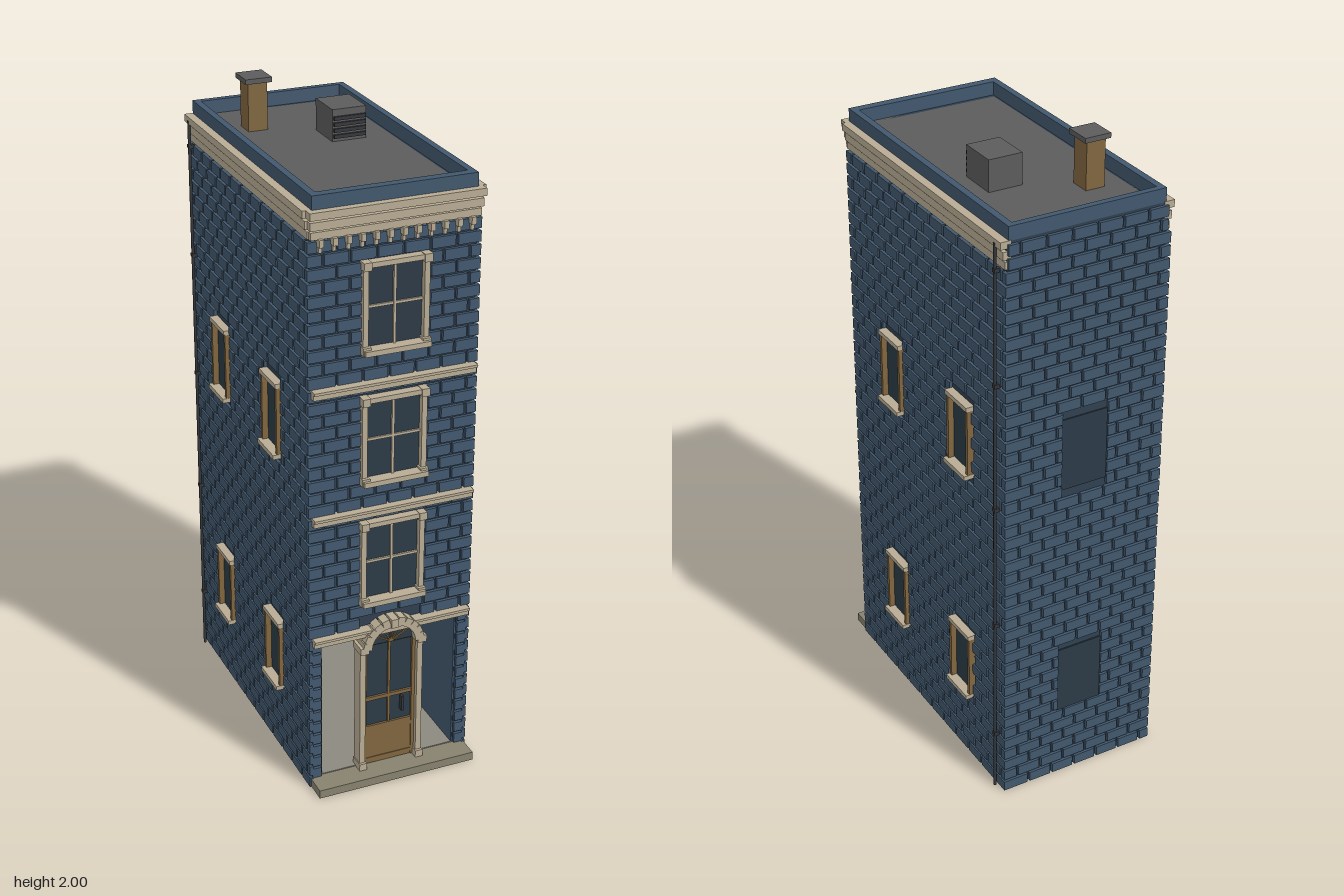
import * as THREE from 'three';
import { mergeGeometries } from 'three/addons/utils/BufferGeometryUtils.js';

const mat = (name, color, side = THREE.FrontSide) => {
  const m = new THREE.MeshStandardMaterial({ color, side });
  m.name = name;
  return m;
};

export function createModel() {
  const M = {
    brick: mat('blue brick', 0x42586e),
    mortar: mat('dark mortar', 0x303f4f),
    trim: mat('cream stone', 0xb8ac94),
    glass: mat('dark glass', 0x2c3a46),
    wood: mat('brown wood', 0x80663f),
    roof: mat('roof grey', 0x5c5c5c),
    step: mat('step stone', 0x87826f),
    floor: mat('floor grey', 0x8c8880),
    iron: mat('dark iron', 0x34363a),
  };
  const model = new THREE.Group();
  model.name = 'townhouse';

  // Box given by its min and max corners
  const box = (parent, name, m, x0, x1, y0, y1, z0, z1) => {
    const mesh = new THREE.Mesh(new THREE.BoxGeometry(x1 - x0, y1 - y0, z1 - z0), m);
    mesh.position.set((x0 + x1) / 2, (y0 + y1) / 2, (z0 + z1) / 2);
    mesh.name = name;
    parent.add(mesh);
    return mesh;
  };
  const group = (name) => {
    const g = new THREE.Group();
    g.name = name;
    model.add(g);
    return g;
  };

  // Running-bond bricks on a face, left out of holes [u0, u1, y0, y1]
  const bricks = (name, u0, u1, y0, y1, holes) => {
    const pitch = 0.04, length = 0.08, gap = 0.008, list = [];
    let row = 0;
    for (let y = y0; y < y1 - 0.01; y += pitch, row++) {
      const top = Math.min(y + pitch - gap, y1);
      for (let u = u0 - (row % 2) * length / 2; u < u1; u += length) {
        let pieces = [[Math.max(u, u0), Math.min(u + length - gap, u1)]];
        for (const [h0, h1, v0, v1] of holes) {
          if (top <= v0 + 0.004 || y >= v1 - 0.004) continue;
          pieces = pieces.flatMap(([a, b]) =>
            b <= h0 || a >= h1 ? [[a, b]] : [[a, Math.min(b, h0)], [Math.max(a, h1), b]]);
        }
        for (const [a, b] of pieces) {
          if (b - a < 0.006) continue;
          const g = new THREE.BoxGeometry(b - a, top - y, 0.012);
          list.push(g.translate((a + b) / 2, (y + top) / 2, 0.004));
        }
      }
    }
    const mesh = new THREE.Mesh(mergeGeometries(list), M.brick);
    mesh.name = name;
    model.add(mesh);
    return mesh;
  };

  // Hollow wall shell with plain blue lining
  const shell = group('walls');
  for (const s of [-1, 1]) {
    const a = s * 0.235;
    box(shell, 'sideWall', M.mortar, a - 0.015, a + 0.015, 0, 1.84, -0.49, 0.43);
    box(shell, 'sideLining', M.brick, s * 0.218 - 0.002, s * 0.218 + 0.002, 0.03, 1.82, -0.46, 0.429);
  }
  box(shell, 'backWall', M.mortar, -0.22, 0.22, 0, 1.84, -0.49, -0.46);
  box(shell, 'backLining', M.brick, -0.216, 0.216, 0.03, 1.82, -0.46, -0.456);
  box(shell, 'frontWall', M.mortar, -0.22, 0.22, 0.5, 1.84, 0.4, 0.43);
  box(shell, 'floorSlab', M.floor, -0.249, 0.249, 0.001, 0.03, -0.489, 0.429);
  box(shell, 'frontStep', M.step, -0.255, 0.255, 0, 0.027, 0.425, 0.505);

  // Brick facing
  const levels = [[0.23, 0.455], [1.02, 1.25]];
  const sideZ = [0.17, -0.245];
  const frontY = [0.74, 1.135, 1.54];
  const front = bricks('frontBricks', -0.25, 0.25, 0.52, 1.76, [
    ...frontY.map((y) => [-0.1, 0.1, y - 0.13, y + 0.13]), [-0.1, 0.1, 0.4, 0.55]]);
  front.position.z = 0.43;
  for (const s of [-1, 1]) {
    bricks('doorwayCornerBricks', s > 0 ? 0.222 : -0.25, s > 0 ? 0.25 : -0.222, 0.03, 0.5, []).position.z = 0.43;
    const holes = sideZ.flatMap((z) => levels.map(([a, b]) => [-s * z - 0.062, -s * z + 0.062, a, b]));
    const side = bricks('sideBricks', s > 0 ? -0.44 : -0.5, s > 0 ? 0.5 : 0.44, 0, 1.76, holes);
    side.rotation.y = s * Math.PI / 2;
    side.position.x = s * 0.25;
  }
  const back = bricks('backBricks', -0.25, 0.25, 0, 1.84, levels.map(([a, b]) => [-0.075, 0.075, a, b]));
  back.rotation.y = Math.PI;
  back.position.z = -0.49;

  // Rear windows, set flush in the wall
  for (const [a, b] of levels) box(model, 'backWindowGlass', M.glass, -0.075, 0.075, a, b, -0.494, -0.488);

  // Side windows with wooden jambs and stone sills
  for (const s of [-1, 1]) for (const z of sideZ) for (const [a, b] of levels) {
    const g = group('sideWindow');
    const part = (name, m, x, y0, y1, z0, z1) =>
      box(g, name, m, Math.min(s * 0.249, s * x), Math.max(s * 0.249, s * x), y0, y1, z + z0, z + z1);
    part('glass', M.glass, 0.254, a, b, -0.06, 0.06);
    part('jamb', M.wood, 0.272, a, b, -0.062, -0.05);
    part('jamb', M.wood, 0.272, a, b, 0.05, 0.062);
    part('lintel', M.trim, 0.276, b - 0.01, b + 0.004, -0.063, 0.063);
    part('sill', M.trim, 0.284, a - 0.004, a + 0.01, -0.063, 0.063);
  }

  // Front windows: casing, cross bars, lintel and sill
  for (const y of frontY) {
    const g = group('frontWindow');
    box(g, 'glass', M.glass, -0.09, 0.09, y - 0.125, y + 0.125, 0.428, 0.434);
    box(g, 'mullion', M.trim, -0.004, 0.004, y - 0.12, y + 0.12, 0.43, 0.441);
    box(g, 'transom', M.trim, -0.09, 0.09, y - 0.004, y + 0.004, 0.43, 0.44);
    for (const s of [-1, 1]) {
      box(g, 'casing', M.trim, s * 0.092 - 0.008, s * 0.092 + 0.008, y - 0.13, y + 0.13, 0.428, 0.452);
      for (const t of [-1, 1])
        box(g, 'cornerBlock', M.trim, s * 0.091 - 0.012, s * 0.091 + 0.012, y + t * 0.125 - 0.012, y + t * 0.125 + 0.012, 0.428, 0.462);
    }
    box(g, 'lintel', M.trim, -0.098, 0.098, y + 0.12, y + 0.135, 0.428, 0.458);
    box(g, 'sill', M.trim, -0.1, 0.1, y - 0.136, y - 0.12, 0.428, 0.471);
  }

  // String courses between floors
  for (const y of [0.507, 0.907, 1.305]) {
    box(model, 'stringCourse', M.trim, -0.25, 0.25, y - 0.012, y + 0.006, 0.428, 0.456);
    box(model, 'stringCourseCap', M.trim, -0.25, 0.25, y + 0.006, y + 0.014, 0.428, 0.465);
  }

  // Door with glazed upper part
  const door = group('door');
  box(door, 'doorPanel', M.wood, -0.09, 0.09, 0.03, 0.16, 0.415, 0.435);
  box(door, 'doorGlass', M.glass, -0.09, 0.09, 0.16, 0.46, 0.418, 0.43);
  for (const x of [-0.081, 0.081]) box(door, 'doorStile', M.wood, x - 0.007, x + 0.007, 0.03, 0.46, 0.414, 0.438);
  box(door, 'doorMullion', M.wood, -0.004, 0.004, 0.16, 0.45, 0.416, 0.436);
  for (const y of [0.045, 0.16, 0.262, 0.455]) box(door, 'doorRail', M.wood, -0.085, 0.085, y - 0.006, y + 0.006, 0.416, 0.437);
  box(door, 'doorHandle', M.iron, 0.038, 0.045, 0.2, 0.25, 0.43, 0.446);

  // Stone surround: pilasters, voussoir arch and fanlight
  const portal = group('doorSurround');
  for (const s of [-1, 1]) {
    box(portal, 'pilaster', M.trim, s * 0.093 - 0.009, s * 0.093 + 0.009, 0.027, 0.45, 0.41, 0.452);
    box(portal, 'pilasterBase', M.trim, s * 0.093 - 0.012, s * 0.093 + 0.012, 0.027, 0.05, 0.41, 0.46);
    box(portal, 'capital', M.trim, s * 0.093 - 0.014, s * 0.093 + 0.014, 0.443, 0.465, 0.41, 0.468);
  }
  const fan = new THREE.Mesh(new THREE.CircleGeometry(0.08, 24, 0, Math.PI), M.glass);
  fan.name = 'fanlight';
  fan.position.set(0, 0.455, 0.443);
  portal.add(fan);
  const stones = 11;
  for (let i = 0; i < stones; i++) {
    const t = Math.PI * (i + 0.5) / stones, key = i === 5;
    const v = box(portal, key ? 'keystone' : 'voussoir', M.trim, -0.014, 0.014, -0.0115, 0.0115, 0.41, key ? 0.476 : 0.468);
    v.position.x = Math.cos(t) * 0.084;
    v.position.y = 0.455 + Math.sin(t) * 0.078;
    v.rotation.z = t;
  }
  for (let i = 1; i < 6; i++) {
    const t = Math.PI * i / 6;
    const bar = box(portal, 'fanlightBar', M.wood, -0.035, 0.035, -0.002, 0.002, 0.442, 0.448);
    bar.position.x = Math.cos(t) * 0.036;
    bar.position.y = 0.457 + Math.sin(t) * 0.036;
    bar.rotation.z = t;
  }

  // Stepped cornice on the front and both sides, with brackets below the front
  const cornice = group('cornice');
  box(cornice, 'corniceCore', M.brick, -0.25, 0.25, 1.76, 1.83, 0.42, 0.44);
  [[1.76, 1.782, 0.008], [1.788, 1.812, 0.014], [1.82, 1.842, 0.022]].forEach(([a, b, d]) => {
    box(cornice, 'frontCornice', M.trim, -0.25 - d / 2, 0.25 + d / 2, a, b, 0.42, 0.441 + d);
    for (const s of [-1, 1]) {
      const x = s * (0.24 + (0.01 + d) / 2), w = (0.01 + d) / 2;
      box(cornice, 'sideCornice', M.trim, x - w, x + w, a, b, -0.492, 0.435);
    }
  });
  for (let i = 0; i < 12; i++) {
    const x = -0.226 + i * 0.0411;
    box(cornice, 'bracket', M.trim, x - 0.007, x + 0.007, 1.74, 1.762, 0.43, 0.46);
    box(cornice, 'bracketFoot', M.trim, x - 0.005, x + 0.005, 1.722, 1.74, 0.43, 0.45);
  }

  // Flat roof and parapet
  box(model, 'roof', M.roof, -0.23, 0.23, 1.81, 1.84, -0.475, 0.415);
  for (const s of [-1, 1])
    box(model, 'sideParapet', M.brick, s * 0.2355 - 0.0105, s * 0.2355 + 0.0105, 1.81, 1.882, -0.49, 0.44);
  box(model, 'frontParapet', M.brick, -0.226, 0.226, 1.81, 1.882, 0.412, 0.44);
  box(model, 'backParapet', M.brick, -0.226, 0.226, 1.81, 1.882, -0.49, -0.47);

  // Chimney and rooftop vent
  box(model, 'chimneyStack', M.wood, -0.155, -0.095, 1.835, 1.985, -0.322, -0.258);
  box(model, 'chimneyCap', M.roof, -0.165, -0.083, 1.985, 2, -0.333, -0.249);
  box(model, 'roofVent', M.roof, 0.034, 0.14, 1.835, 1.936, -0.2, -0.076);
  for (let i = 0; i < 4; i++)
    box(model, 'ventSlat', M.iron, 0.037, 0.137, 1.85 + i * 0.018, 1.861 + i * 0.018, -0.078, -0.069);

  // Drainpipes near the rear corners
  for (const s of [-1, 1]) {
    const pipe = new THREE.Mesh(new THREE.CylinderGeometry(0.005, 0.005, 1.83, 8), M.iron);
    pipe.name = 'drainpipe';
    pipe.position.set(s * 0.27, 0.915, -0.46);
    model.add(pipe);
    for (const y of [0.2, 0.6, 1, 1.4, 1.75])
      box(model, 'pipeClip', M.iron, s * 0.266 - 0.009, s * 0.266 + 0.009, y - 0.006, y + 0.006, -0.467, -0.453);
  }
  return model;
}
